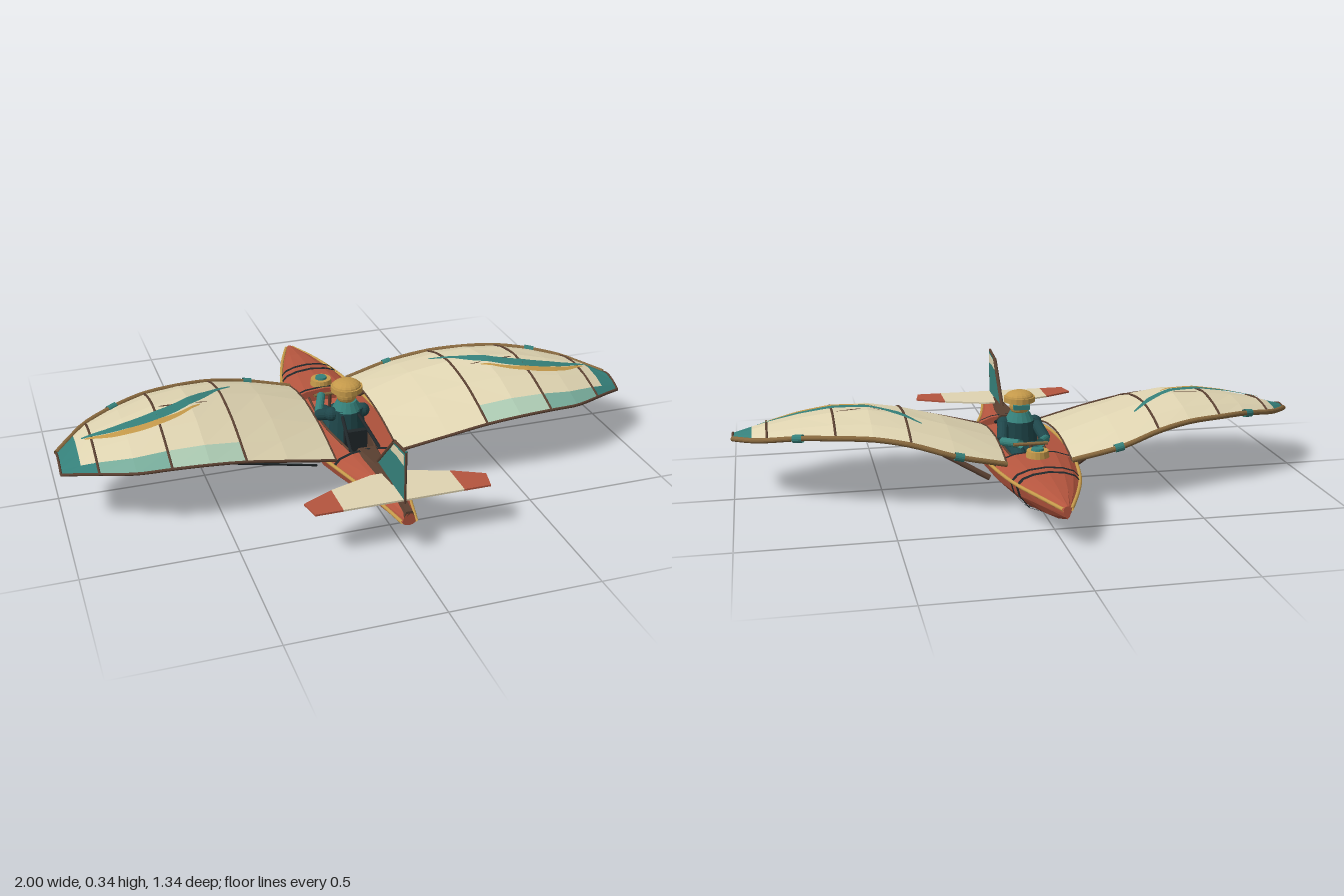
import * as THREE from 'three';

const mat = (name, color) => Object.assign(
  new THREE.MeshStandardMaterial({ color, side: THREE.DoubleSide, flatShading: true }), { name });
const M = {
  red: mat('hull red', 0xb4553e), cream: mat('sail cream', 0xdfd4b1), mint: mat('pale mint', 0xaccab2),
  sea: mat('sea green', 0x78ac9b), teal: mat('teal', 0x35807a), deep: mat('deep teal', 0x1f474b),
  gold: mat('gold', 0xc4994a), wood: mat('wood', 0x86673d), brown: mat('dark brown', 0x5a4031), black: mat('black', 0x1f2629),
};
const V = (x, y, z) => new THREE.Vector3(x, y, z);

function add(parent, name, geo, material, x = 0, y = 0, z = 0) {
  const m = new THREE.Mesh(geo, material);
  m.name = name;
  m.position.set(x, y, z);
  parent.add(m);
  return m;
}

// Faceted surface from triangles of Vector3
function facets(tris) {
  const g = new THREE.BufferGeometry().setFromPoints(tris);
  g.computeVertexNormals();
  return g;
}
const quad = (a, b, c, d) => [a, b, c, a, c, d];

// Skin between successive rows of points
function loft(rows, capped = false) {
  const t = [];
  for (let i = 0; i + 1 < rows.length; i++)
    for (let j = 0; j + 1 < rows[i].length; j++)
      t.push(...quad(rows[i][j], rows[i][j + 1], rows[i + 1][j + 1], rows[i + 1][j]));
  if (capped) for (const r of [rows[0], rows[rows.length - 1]])
    for (let j = 1; j + 1 < r.length; j++) t.push(r[0], r[j], r[j + 1]);
  return facets(t);
}

// Round rod, straight or through a few points
function rod(parent, name, pts, r, material) {
  const curve = pts.length > 2 ? new THREE.CatmullRomCurve3(pts, false, 'centripetal') : new THREE.LineCurve3(...pts);
  return add(parent, name, new THREE.TubeGeometry(curve, pts.length > 2 ? pts.length * 3 : 1, r, 14), material);
}

// Flat plate from a 2D outline, extruded through its thickness
function plate(pts, depth) {
  const s = new THREE.Shape(pts.map(p => new THREE.Vector2(...p)));
  return new THREE.ExtrudeGeometry(s, { depth, bevelEnabled: false }).translate(0, 0, -depth / 2);
}

// Hull stations: z, half width, keel y, gunwale y, deck y, cockpit half width
const HULL = [
  [-0.67, 0.012, 0.095, 0.125, 0.137, 0], [-0.55, 0.06, 0.055, 0.128, 0.152, 0], [-0.4, 0.107, 0.027, 0.125, 0.162, 0],
  [-0.2, 0.142, 0.006, 0.121, 0.167, 0.06], [0, 0.158, 0, 0.118, 0.165, 0.07], [0.2, 0.143, 0.016, 0.123, 0.165, 0.05],
  [0.28, 0.122, 0.026, 0.122, 0.165, 0.036], [0.45, 0.07, 0.055, 0.117, 0.157, 0], [0.67, 0.022, 0.1, 0.113, 0.145, 0]];
function station(z) {
  const i = Math.min(HULL.length - 2, Math.max(0, HULL.findIndex(h => h[0] >= z) - 1));
  const k = (z - HULL[i][0]) / (HULL[i + 1][0] - HULL[i][0]);
  return HULL[i].map((v, n) => v + (HULL[i + 1][n] - v) * k);
}
const mirrorRow = half => [...half.map(p => V(-p.x, p.y, p.z)).reverse(), ...half.slice(half[0].x === 0 ? 1 : 0)];
const belly = ([z, w, b, g], e = 0) => mirrorRow([V(0, b - e, z), V(0.58 * w + e, b + 0.24 * (g - b) - e, z),
  V(0.9 * w + e, b + 0.62 * (g - b), z), V(w + e, g, z)]);
const deck = ([z, w, , g, t], e = 0) => mirrorRow([V(0, t + e, z), V(0.5 * w, t - 0.15 * (t - g) + e, z),
  V(0.8 * w + e, g + 0.5 * (t - g) + e, z), V(w + e, g, z)]);

function buildHull(root) {
  const g = new THREE.Group();
  g.name = 'hull';
  root.add(g);
  add(g, 'hullShell', loft(HULL.map(h => belly(h)), true), M.red);
  add(g, 'foreDeck', loft(HULL.slice(0, 4).map(h => deck(h)), true), M.red);
  add(g, 'aftDeck', loft(HULL.slice(6).map(h => deck(h)), true), M.red);
  // Open cockpit with side decks, well and coaming
  const mid = HULL.slice(3, 7);
  for (const s of [-1, 1]) {
    add(g, 'sideDeck', loft(mid.map(h => [V(s * h[1], h[3], h[0]), V(s * h[5], h[3] + 0.014, h[0])])), M.red);
    add(g, 'wellSide', loft(mid.map(h => [V(s * h[5], h[3] + 0.014, h[0]), V(s * h[5] * 0.9, 0.06, h[0])])), M.brown);
    rod(g, 'coaming', mid.map(h => V(s * h[5], h[3] + 0.015, h[0])), 0.004, M.brown);
    rod(g, 'gunwale', HULL.map(h => V(s * (h[1] + 0.001), h[3] + 0.002, h[0])), 0.006, M.gold);
  }
  add(g, 'cockpitFloor', loft(mid.map(h => [V(-h[5], 0.065, h[0]), V(h[5], 0.065, h[0])])), M.black);
  // Lashings around the hull
  const band = (z, half, top, bottom) => {
    const ends = [station(z - half), station(z + half)];
    if (top) add(g, 'lashing', loft(ends.map(h => deck(h, 0.005))), M.black);
    if (bottom) add(g, 'lashing', loft(ends.map(h => belly(h, 0.005))), M.black);
  };
  band(-0.419, 0.008, true, true);
  band(-0.374, 0.008, true, true);
  band(0.41, 0.006, false, true);
  band(-0.207, 0.006, true, false);
  band(0.288, 0.006, true, false);
  // Compass on the fore deck
  add(g, 'compassRing', new THREE.CylinderGeometry(0.037, 0.04, 0.022, 16), M.gold, 0, 0.176, -0.245);
  add(g, 'compassGlass', new THREE.CylinderGeometry(0.02, 0.022, 0.008, 14), M.teal, 0, 0.19, -0.245);
  // Tapered fairing leading to the fin
  add(g, 'tailFairing', loft([[0.27, 0.048, 0.168], [0.4, 0.028, 0.176], [0.52, 0.013, 0.172], [0.67, 0.018, 0.15]]
    .map(([z, w, y]) => [V(-w, y - 0.022, z), V(-w * 0.6, y, z), V(w * 0.6, y, z), V(w, y - 0.022, z)]), true), M.brown);
}

// Wing stations: x, leading z, trailing z, leading y, crest y, trailing y
const WING = [
  [0.11, -0.28, 0.28, 0.155, 0.19, 0.14], [0.28, -0.29, 0.3, 0.195, 0.245, 0.178], [0.42, -0.255, 0.31, 0.232, 0.28, 0.205],
  [0.54, -0.22, 0.315, 0.248, 0.297, 0.218], [0.66, -0.19, 0.305, 0.25, 0.29, 0.218], [0.77, -0.14, 0.285, 0.243, 0.27, 0.21],
  [0.88, -0.08, 0.23, 0.225, 0.245, 0.198], [0.93, -0.03, 0.2, 0.213, 0.228, 0.19], [0.994, 0.05, 0.165, 0.2, 0.206, 0.18]];
const CHORD = [0, 0.15, 0.36, 0.65, 0.85, 1], BUMP = [0, 0.55, 0.97, 0.85, 0.42, 0];
function wingRow(x) {
  const i = Math.min(WING.length - 2, Math.max(0, WING.findIndex(r => r[0] >= x) - 1));
  const k = (x - WING[i][0]) / (WING[i + 1][0] - WING[i][0]);
  return WING[i].map((v, n) => v + (WING[i + 1][n] - v) * k);
}
function wingPoint(x, u, lift = 0) {
  const [, zl, zt, yl, yc, yt] = wingRow(x);
  const j = Math.min(4, Math.max(0, CHORD.findIndex(c => c >= u) - 1));
  const bump = BUMP[j] + (BUMP[j + 1] - BUMP[j]) * (u - CHORD[j]) / (CHORD[j + 1] - CHORD[j]);
  return V(x, yl + (yt - yl) * u + bump * (yc - yl - (yt - yl) * 0.45) + lift, zl + (zt - zl) * u);
}

// Painted crescent that follows the sail: rows of x, fore z, aft z
function crescent(parent, name, rows, lift, material) {
  const fore = new THREE.CatmullRomCurve3(rows.map(r => V(r[0], 0, r[1])));
  const aft = new THREE.CatmullRomCurve3(rows.map(r => V(r[0], 0, r[2])));
  const grid = [];
  for (let i = 0; i <= 36; i++) {
    const a = fore.getPoint(i / 36), b = aft.getPoint(i / 36), w = wingRow(a.x), row = [];
    for (let k = 0; k <= 6; k++)
      row.push(wingPoint(a.x, (a.z + (b.z - a.z) * k / 6 - w[1]) / (w[2] - w[1]), lift));
    grid.push(row);
  }
  add(parent, name, loft(grid), material);
}

function buildWing() {
  const g = new THREE.Group();
  // Sail panels grouped by colour, fading to teal along the trailing edge
  const panels = { cream: [], mint: [], sea: [], teal: [] };
  for (let i = 0; i < 8; i++) for (let j = 0; j < 5; j++) {
    let c = 'cream';
    if (i === 7 || (i === 6 && j === 4)) c = 'teal';
    else if (j === 4 && i >= 4) c = 'sea';
    else if (j === 4 && i >= 2) c = 'mint';
    const p = (a, b) => wingPoint(WING[a][0], CHORD[b]);
    panels[c].push(...quad(p(i, j), p(i, j + 1), p(i + 1, j + 1), p(i + 1, j)));
  }
  for (const c in panels) add(g, c + 'Sail', facets(panels[c]), M[c]);
  // Frame
  rod(g, 'leadingSpar', WING.map(r => wingPoint(r[0], 0)), 0.009, M.wood);
  rod(g, 'trailingEdge', WING.map(r => wingPoint(r[0], 1)), 0.005, M.brown);
  for (const x of [0.11, 0.42, 0.66, 0.88, 0.994])
    rod(g, 'rib', CHORD.map(u => wingPoint(x, u)), x < 0.2 ? 0.003 : 0.004, M.brown);
  for (const x of [0.27, 0.78])
    rod(g, 'sparBinding', [wingPoint(x - 0.015, 0), wingPoint(x + 0.015, 0)], 0.014, M.teal);
  // Painted crescents
  crescent(g, 'tealCrescent', [[0.37, -0.125, -0.115], [0.5, -0.035, 0.005], [0.64, 0.03, 0.08],
    [0.78, 0.053, 0.087], [0.91, 0.053, 0.06]], 0.008, M.teal);
  crescent(g, 'goldCrescent', [[0.51, 0.03, 0.038], [0.6, 0.07, 0.094], [0.69, 0.085, 0.12],
    [0.8, 0.085, 0.112], [0.9, 0.062, 0.069]], 0.007, M.gold);
  // Bracing
  rod(g, 'mainStrut', [V(0.13, 0.04, -0.065), V(0.55, 0.272, 0.03)], 0.01, M.brown);
  rod(g, 'underSpar', [[0.45, 0.44], [0.54, 0.43], [0.66, 0.38], [0.8, 0.3]]
    .map(([x, u]) => wingPoint(x, u, -0.007)), 0.006, M.brown);
  rod(g, 'foreStrut', [V(0.125, 0.125, -0.19), V(0.22, 0.2, -0.15)], 0.009, M.brown);
  rod(g, 'braceWire', [V(0.14, 0.06, 0.155), V(0.67, 0.222, 0.26)], 0.004, M.black);
  return g;
}

function buildTail(root) {
  const g = new THREE.Group();
  g.name = 'tail';
  root.add(g);
  const flat = pts => plate(pts, 0.006).rotateX(Math.PI / 2);
  add(g, 'tailplane', flat([[-0.05, 0.455], [0.05, 0.455], [0.2, 0.505], [0.2, 0.63], [-0.2, 0.63], [-0.2, 0.505]]), M.cream, 0, 0.167, 0);
  for (const s of [-1, 1])
    add(g, 'tailplaneTip', flat([[s * 0.2, 0.505], [s * 0.305, 0.558], [s * 0.29, 0.63], [s * 0.2, 0.63]]), M.red, 0, 0.167, 0);
  // Fin drawn in z and y, then turned upright
  const upright = (pts, d) => plate(pts.map(([z, y]) => [-z, y]), d).rotateY(Math.PI / 2);
  add(g, 'fin', upright([[0.375, 0.165], [0.63, 0.165], [0.63, 0.338], [0.53, 0.322]], 0.008), M.teal);
  add(g, 'finPatch', upright([[0.506, 0.284], [0.532, 0.314], [0.624, 0.322], [0.624, 0.288], [0.56, 0.29]], 0.012), M.cream);
  rod(g, 'finFrame', [V(0, 0.165, 0.375), V(0, 0.322, 0.53)], 0.007, M.brown);
  rod(g, 'finFrame', [V(0, 0.322, 0.53), V(0, 0.336, 0.63)], 0.005, M.brown);
  rod(g, 'finFrame', [V(0, 0.336, 0.63), V(0, 0.15, 0.63)], 0.004, M.brown);
}

function buildPilot(root) {
  const g = new THREE.Group();
  g.name = 'pilot';
  root.add(g);
  add(g, 'torso', new THREE.CylinderGeometry(0.045, 0.055, 0.145, 16).scale(1.3, 1, 0.9), M.deep, 0, 0.142, 0.06);
  add(g, 'scarf', new THREE.CylinderGeometry(0.034, 0.052, 0.032, 16), M.teal, 0, 0.226, 0.055);
  add(g, 'head', new THREE.SphereGeometry(0.037, 14, 12), M.gold, 0, 0.265, 0.052);
  add(g, 'goggles', new THREE.BoxGeometry(0.056, 0.016, 0.02), M.teal, 0, 0.264, 0.02);
  add(g, 'hatBrim', new THREE.CylinderGeometry(0.055, 0.055, 0.018, 16), M.gold, 0, 0.287, 0.054);
  add(g, 'hatCrown', new THREE.SphereGeometry(0.05, 16, 6, 0, Math.PI * 2, 0, Math.PI / 2).scale(1, 0.46, 1), M.gold, 0, 0.295, 0.054);
  add(g, 'seatBack', new THREE.BoxGeometry(0.08, 0.09, 0.02), M.black, 0, 0.125, 0.15);
  for (const s of [-1, 1]) {
    rod(g, 'upperArm', [V(s * 0.058, 0.198, 0.06), V(s * 0.076, 0.158, -0.02)], 0.02, M.deep);
    rod(g, 'forearm', [V(s * 0.076, 0.158, -0.03), V(s * 0.035, 0.176, -0.13)], 0.015, M.teal);
    rod(g, 'leg', [V(s * 0.032, 0.1, 0.04), V(s * 0.035, 0.13, -0.07), V(s * 0.03, 0.085, -0.17)], 0.028, M.deep);
    rod(g, 'harness', [V(s * 0.03, 0.2, 0.1), V(s * 0.05, 0.15, 0.25)], 0.006, M.black);
    add(g, 'shoulder', new THREE.SphereGeometry(0.025, 14, 10), M.deep, s * 0.056, 0.197, 0.06);
  }
  rod(g, 'controlBar', [V(-0.06, 0.176, -0.135), V(0.06, 0.176, -0.135)], 0.006, M.wood);
  rod(g, 'controlStick', [V(0, 0.07, -0.15), V(0, 0.176, -0.135)], 0.006, M.brown);
}

export function createModel() {
  const root = new THREE.Group();
  root.name = 'wingedBoat';
  buildHull(root);
  for (const s of [-1, 1]) {
    const wing = buildWing();
    wing.name = s > 0 ? 'leftWing' : 'rightWing';
    wing.scale.x = s;
    root.add(wing);
  }
  buildTail(root);
  buildPilot(root);
  return root;
}
